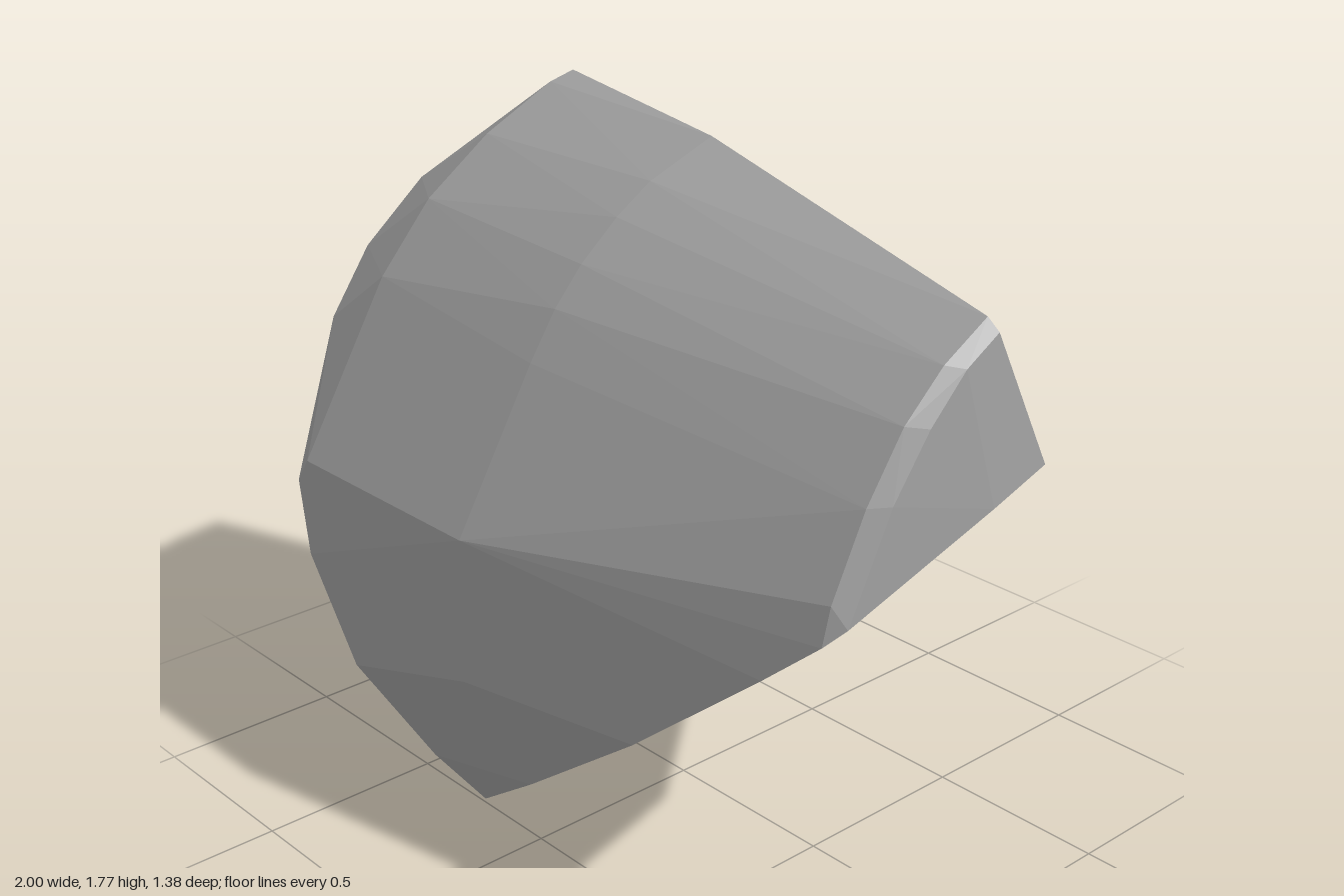
import * as THREE from 'three';
import { ConvexGeometry } from 'three/addons/geometries/ConvexGeometry.js';

const V = (x, y, z) => new THREE.Vector3(x, y, z);

export function createModel() {
  const group = new THREE.Group();
  group.name = 'rockFragment';
  const stone = new THREE.MeshStandardMaterial({ color: 0xa0a0a0, flatShading: true });
  stone.name = 'stoneGrey';

  // Corners where the flat broken faces meet
  const apex = V(-0.11, 0.51, -0.69);
  const foot = V(-0.25, 0, 0.49);
  const leftTop = V(-0.95, 1.66, -0.36);
  const rightTop = V(1, 1.18, -0.2);

  // Place an outline of [x, y, z] points exactly on the plane through three corners
  const onPlane = (a, b, c, outline) => {
    const plane = new THREE.Plane().setFromCoplanarPoints(a, b, c);
    return outline.map((p) => plane.projectPoint(V(...p), V(0, 0, 0)));
  };

  // Rim of the model's right-hand broken face
  const rightFace = onPlane(apex, foot, leftTop, [
    [-0.98, 1.59, -0.17], [-1, 1.48, 0.07], [-0.985, 1.33, 0.27], [-0.945, 1.17, 0.42],
    [-0.81, 0.8, 0.65], [-0.71, 0.63, 0.69], [-0.54, 0.36, 0.68], [-0.36, 0.12, 0.57],
  ]);
  // Rim of the model's left-hand broken face
  const leftFace = onPlane(apex, foot, rightTop, [
    [1, 1.12, -0.03], [0.955, 0.95, 0.39], [0.925, 0.9, 0.43], [0.78, 0.79, 0.48],
    [0.43, 0.49, 0.55], [0, 0.18, 0.53],
  ]);
  // Top rim of the back face
  const backFace = onPlane(apex, leftTop, rightTop, [
    [-0.76, 1.765, -0.28], [-0.08, 1.735, -0.17], [0.925, 1.55, -0.06], [0.955, 1.52, -0.07],
  ]);

  // Rounded front skin: cross-sections of [y, z] at each x
  const sections = [
    [-0.76, [[1.745, -0.2], [1.64, 0.02], [1.5, 0.22], [1.32, 0.38], [0.87, 0.65]]],
    [-0.1, [[1.65, 0.02], [1.58, 0.13], [1.485, 0.245], [1.39, 0.33], [1.27, 0.41], [0.87, 0.645], [0.48, 0.65]]],
    [0.925, [[1.47, 0.08], [1.36, 0.2], [1.2, 0.31], [1, 0.41]]],
    [0.957, [[1.46, 0.04], [1.35, 0.15], [1.2, 0.26]]],
  ];
  const skin = sections.flatMap(([x, ring]) => ring.map(([y, z]) => V(x, y, z)));

  const rock = new THREE.Mesh(
    new ConvexGeometry([apex, foot, leftTop, rightTop, ...rightFace, ...leftFace, ...backFace, ...skin]),
    stone
  );
  rock.name = 'rock';
  group.add(rock);
  return group;
}
